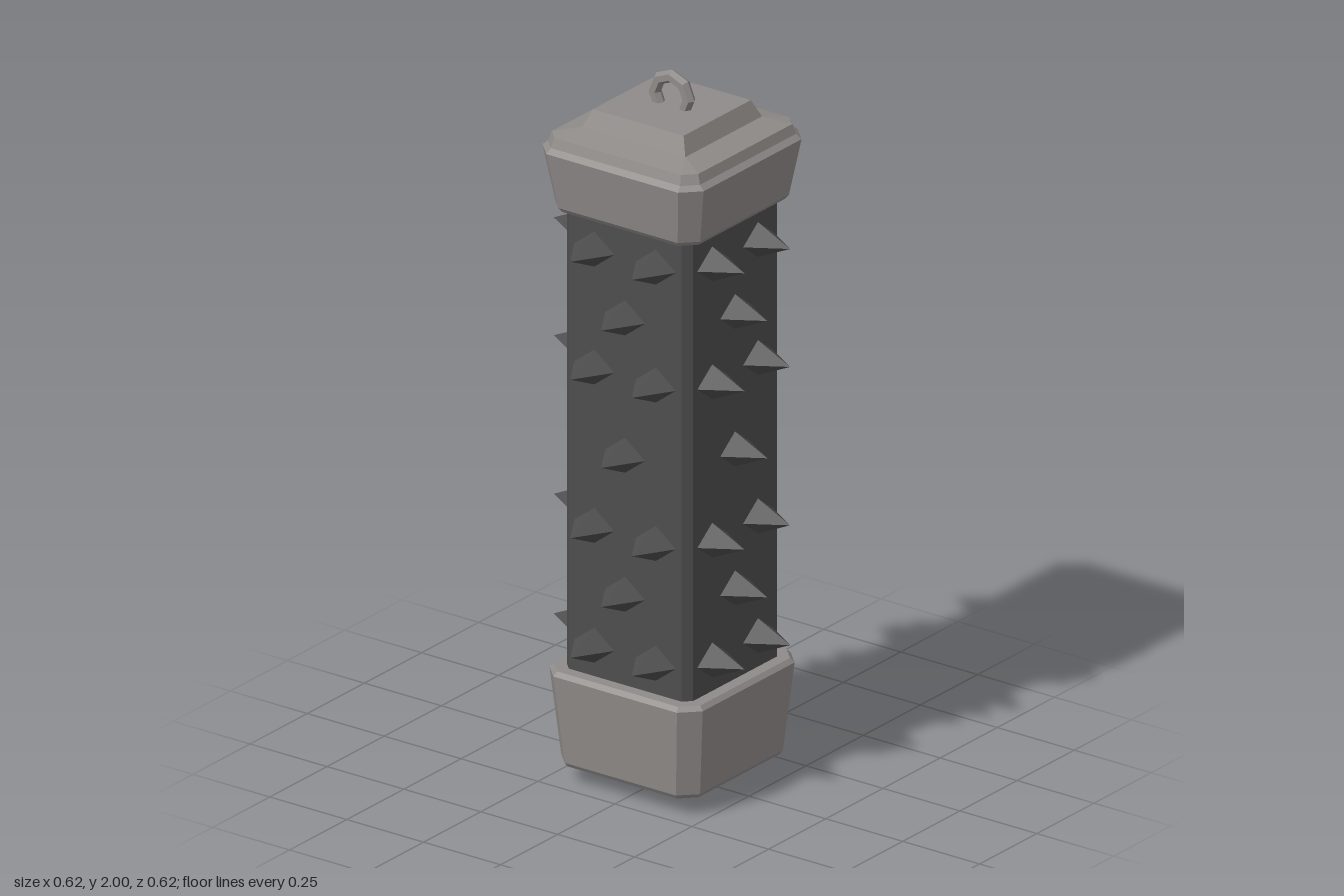
import * as THREE from 'three';

const steel = new THREE.MeshStandardMaterial({ color: 0x8f8b89, flatShading: true });
steel.name = 'steel';
const darkIron = new THREE.MeshStandardMaterial({ color: 0x4e4e4e, flatShading: true });
darkIron.name = 'darkIron';

// Square outline with cut corners, running counterclockwise seen from above
function ring([y, half, cut]) {
  const a = half, b = half - cut;
  return [[a, b], [a, -b], [b, -a], [-b, -a], [-a, -b], [-a, b], [-b, a], [b, a]]
    .map(([x, z]) => new THREE.Vector3(x, y, z));
}

// Closed solid through [y, half width, corner cut] sections, bottom to top
function loft(sections) {
  const rings = sections.map(ring);
  const pts = [];
  for (let r = 0; r < rings.length - 1; r++) {
    const lo = rings[r], hi = rings[r + 1];
    for (let i = 0; i < 8; i++) {
      const j = (i + 1) % 8;
      pts.push(lo[i], lo[j], hi[j], lo[i], hi[j], hi[i]);
    }
  }
  const bottom = rings[0], top = rings[rings.length - 1];
  for (let i = 1; i < 7; i++) {
    pts.push(top[0], top[i], top[i + 1], bottom[0], bottom[i + 1], bottom[i]);
  }
  const geo = new THREE.BufferGeometry().setFromPoints(pts);
  geo.computeVertexNormals();
  return geo;
}

export function createModel() {
  const model = new THREE.Group();
  model.name = 'spikedPillar';
  const add = (name, geo, mat, parent = model) => {
    const mesh = new THREE.Mesh(geo, mat);
    mesh.name = name;
    parent.add(mesh);
    return mesh;
  };

  // Shaft
  add('shaft', loft([[0.28, 0.205, 0.022], [1.67, 0.205, 0.022]]), darkIron);

  // Flared end caps with bevelled rims
  add('bottomCap', loft([
    [0.05, 0.218, 0.04], [0.062, 0.226, 0.045], [0.31, 0.249, 0.048], [0.322, 0.238, 0.042],
  ]), steel);
  add('topCap', loft([
    [1.625, 0.226, 0.038], [1.638, 0.236, 0.042], [1.795, 0.262, 0.048], [1.808, 0.247, 0.037],
    [1.835, 0.238, 0.033], [1.852, 0.168, 0], [1.9, 0.147, 0],
  ]), steel);

  // Button under the base
  const knob = [[0, 0], [0.045, 0], [0.07, 0.022], [0.07, 0.06]].map(([x, y]) => new THREE.Vector2(x, y));
  add('bottomKnob', new THREE.LatheGeometry(knob, 8, Math.PI / 8), steel);

  // Hanging loop
  const loop = add('hangingLoop', new THREE.TorusGeometry(0.055, 0.018, 6, 8), steel);
  loop.rotation.y = Math.PI / 2;
  loop.position.y = 1.927;

  // Diamond spikes in alternating rows of two and one on every face
  const spike = new THREE.ConeGeometry(1, 0.11, 4, 1);
  spike.rotateX(Math.PI / 2).scale(0.068, 0.052, 1).translate(0, 0, 0.255);
  const pairRows = [0.41, 0.75, 1.2, 1.535];
  const singleRows = [0.58, 0.975, 1.365];
  const spots = [
    ...pairRows.flatMap((y) => [[-0.1, y], [0.1, y]]),
    ...singleRows.map((y) => [0, y]),
  ];
  for (let side = 0; side < 4; side++) {
    const face = new THREE.Group();
    face.name = 'spikeFace';
    face.rotation.y = side * Math.PI / 2;
    for (const [x, y] of spots) add('spike', spike, darkIron, face).position.set(x, y, 0);
    model.add(face);
  }
  return model;
}
